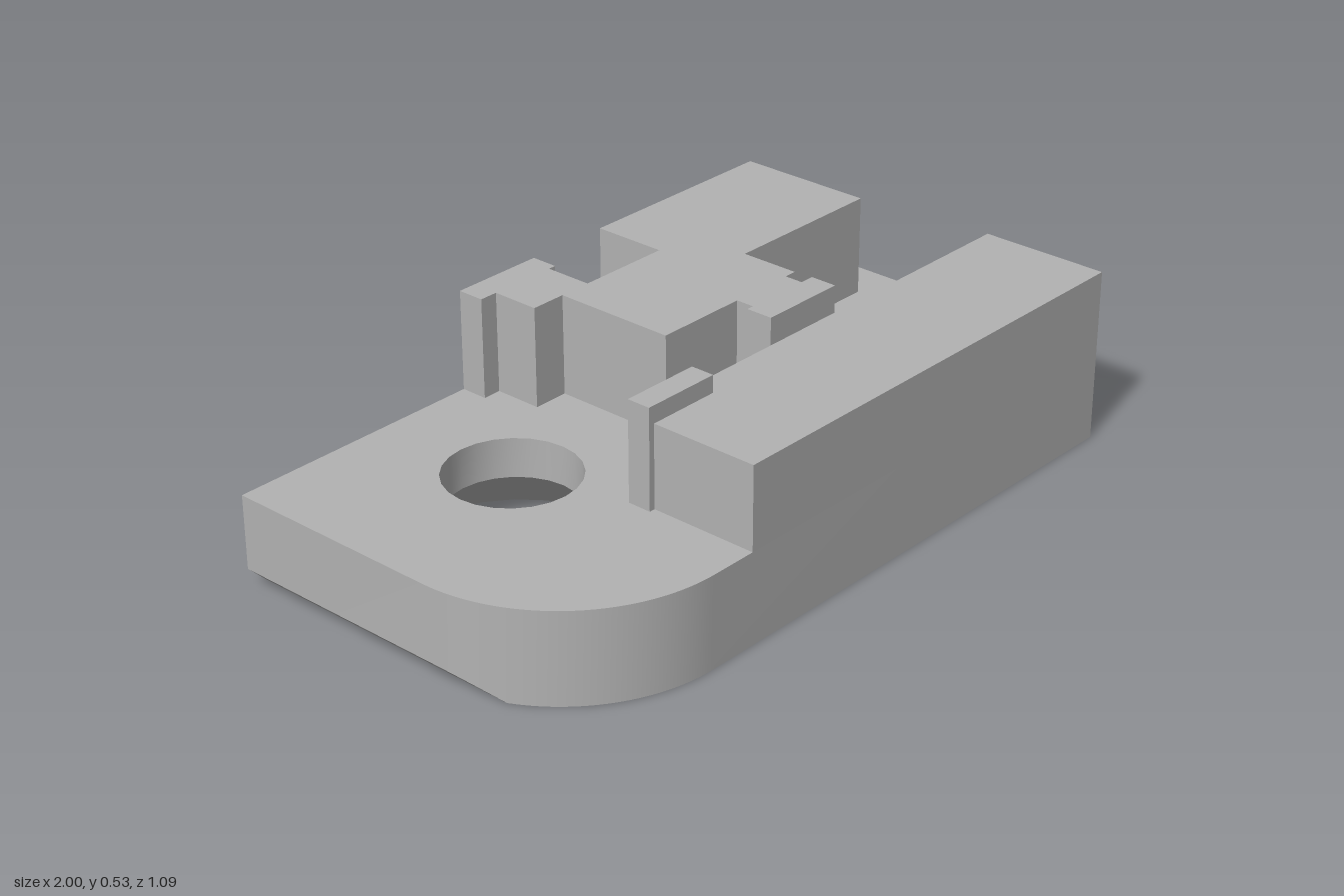
import * as THREE from 'three';
import { toCreasedNormals } from 'three/addons/utils/BufferGeometryUtils.js';

const BASE = 0.255, RAIL = 0.485, TOP = 0.533, CHAMFER = 0.05, HALF = 0.546;

// Plans are drawn as (x, -z) so they turn upright with one rotation.
const P = (x, z) => new THREE.Vector2(x, -z);

function arc(cx, cz, r, from, to, n) {
  const pts = [];
  for (let i = 0; i <= n; i++) {
    const a = from + (to - from) * i / n;
    pts.push(new THREE.Vector2(cx + r * Math.cos(a), -cz + r * Math.sin(a)));
  }
  return pts;
}

// Flat face at height y, facing up or down, with an optional hole
function cap(points, y, up, hole) {
  const shape = new THREE.Shape(points);
  if (hole) shape.holes.push(new THREE.Path(hole));
  const g = new THREE.ShapeGeometry(shape).rotateX(-Math.PI / 2).translate(0, y, 0);
  if (!up) {
    g.setIndex(Array.from(g.index.array).reverse());
    g.computeVertexNormals();
  }
  return g;
}

// Closed wall between two outlines; low and high give heights per point
function wall(lower, upper, low, high) {
  const pos = [], n = lower.length;
  const put = (p, y) => pos.push(p.x, y(p), -p.y);
  for (let i = 0; i < n; i++) {
    const j = (i + 1) % n;
    put(lower[i], low); put(lower[j], low); put(upper[j], high);
    put(lower[i], low); put(upper[j], high); put(upper[i], high);
  }
  const g = new THREE.BufferGeometry();
  g.setAttribute('position', new THREE.Float32BufferAttribute(pos, 3));
  return toCreasedNormals(g, Math.PI / 6);
}

export function createModel() {
  const group = new THREE.Group();
  const grey = new THREE.MeshStandardMaterial({ color: 0xb2b2b2 });
  grey.name = 'plain grey';
  const add = (name, geometry, parent = group) => {
    const mesh = new THREE.Mesh(geometry, grey);
    mesh.name = name;
    parent.add(mesh);
    return mesh;
  };

  // Base plate outline, with one rounded corner split where the chamfer ends
  const r = 0.47, cx = -1 + r, cz = HALF - r, edge = -1 + CHAMFER;
  const split = 2 * Math.PI - Math.acos((edge - cx) / r);
  const tipArc = arc(cx, cz, r, Math.PI, split, 10);
  const mainArc = arc(cx, cz, r, split, 1.5 * Math.PI, 20);
  const backSplit = P(edge, -HALF), backCorner = P(-1, -HALF);
  const right = [P(1, HALF), P(1, -HALF)];
  const outline = [...right, backSplit, backCorner, ...tipArc, ...mainArc.slice(1)];
  const bottom = [...right, backSplit, ...mainArc];

  // Countersunk hole
  const circle = radius => arc(-0.49, -0.14, radius, 0, 2 * Math.PI, 24).slice(0, -1);
  const bore = circle(0.178), sink = circle(0.322);
  const flip = pts => [...pts].reverse();

  const base = new THREE.Group();
  base.name = 'basePlate';
  group.add(base);
  add('baseTop', cap(outline, BASE, true, bore), base);
  add('baseBottom', cap(bottom, 0, false, sink), base);
  add('baseSides', wall(outline, outline, p => Math.max(0, edge - p.x), () => BASE), base);
  add('holeBore', wall(flip(bore), flip(bore), () => 0.145, () => BASE), base);
  add('holeCountersink', wall(flip(sink), flip(bore), () => 0, () => 0.145), base);

  // Sloping chamfer under the rounded end
  const slope = cap([backSplit, backCorner, ...tipArc], 0, false);
  const sp = slope.attributes.position;
  for (let i = 0; i < sp.count; i++) sp.setY(i, Math.max(0, edge - sp.getX(i)));
  slope.computeVertexNormals();
  add('endChamfer', slope, base);

  // Rail along the front and the raised tab at its end
  const box = (name, x0, x1, z0, z1, top) => {
    const g = new THREE.BoxGeometry(x1 - x0, top - BASE, z1 - z0);
    g.translate((x0 + x1) / 2, (top + BASE) / 2, (z0 + z1) / 2);
    add(name, g);
  };
  box('frontRail', -0.395, 1, 0.179, HALF, RAIL);
  box('railTab', -0.412, -0.185, 0.173, 0.24, TOP);

  // Stepped centre block with a front key and a rear pocket
  const block = [
    [-0.255, -HALF], [-0.255, -0.47], [-0.203, -0.47], [-0.203, -0.335],
    [-0.102, -0.335], [-0.102, 0.014], [0.166, 0.014], [0.166, 0.066],
    [0.145, 0.066], [0.145, 0.142], [0.397, 0.142], [0.397, 0.066],
    [0.356, 0.066], [0.356, 0.014], [0.392, 0.014], [0.392, -0.154],
    [0.873, -0.154], [0.873, -HALF], [0.262, -HALF], [0.262, -0.335],
    [-0.01, -0.335], [-0.01, -0.47], [0.012, -0.47], [0.012, -HALF],
  ].map(([x, z]) => P(x, z));
  const g = new THREE.ExtrudeGeometry(new THREE.Shape(block), { depth: TOP - BASE, bevelEnabled: false });
  add('centreBlock', g.rotateX(-Math.PI / 2).translate(0, BASE, 0));

  return group;
}
